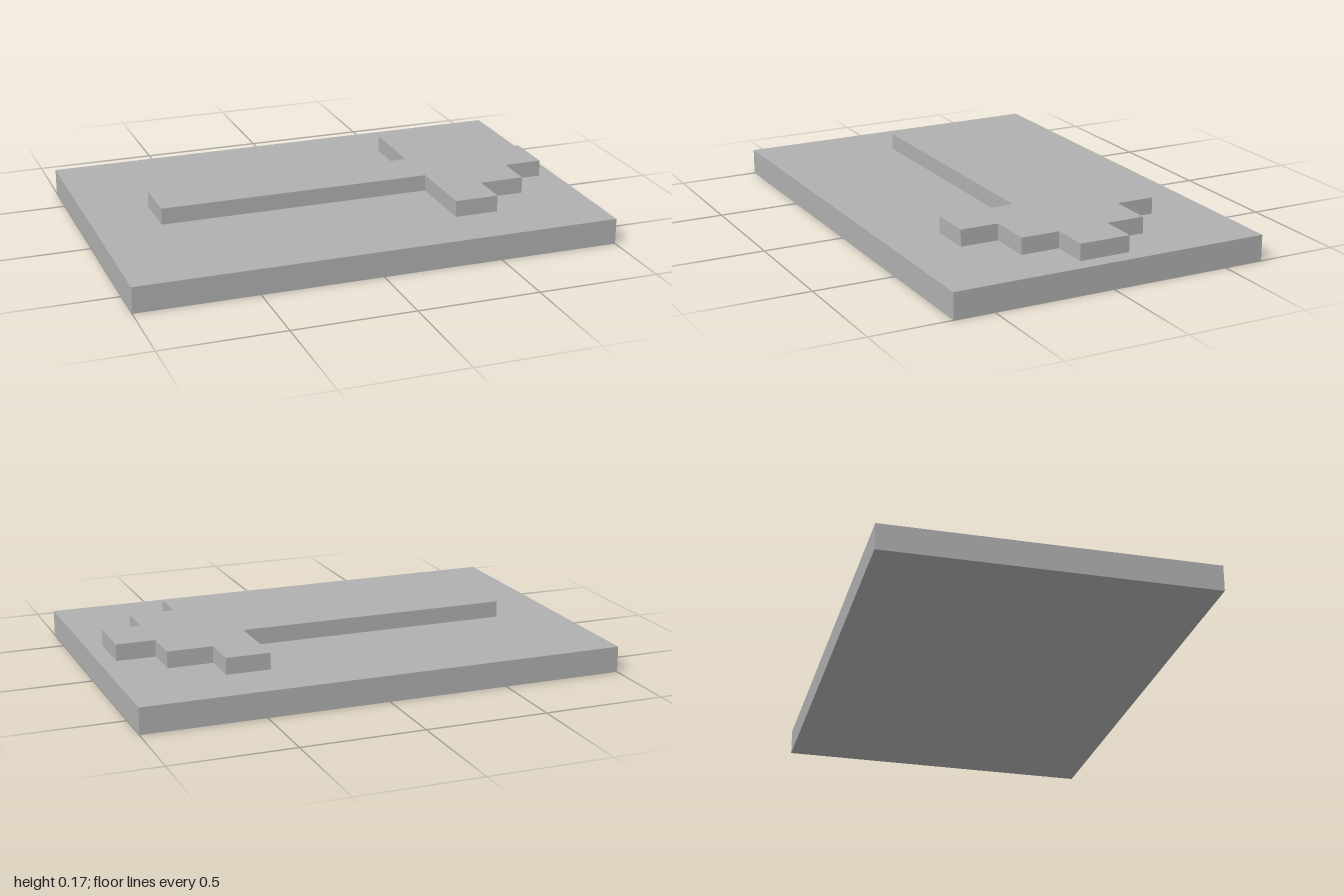
import * as THREE from 'three';

export function createModel() {
  const model = new THREE.Group();
  model.name = 'arrowPlaque';
  const grey = new THREE.MeshStandardMaterial({ color: 0xb0b0b0 });
  grey.name = 'plain grey';

  const baseHeight = 0.107;
  const arrowHeight = 0.068;

  // Flat rectangular base
  const base = new THREE.Mesh(new THREE.BoxGeometry(2, baseHeight, 1.333), grey);
  base.name = 'base';
  base.position.y = baseHeight / 2;
  model.add(base);

  // Raised stepped arrow pointing to +x: half outline, mirrored across its axis
  const half = [
    [-0.734, 0.106], [0.402, 0.106], [0.402, 0.427], [0.584, 0.427],
    [0.584, 0.267], [0.771, 0.267], [0.771, 0.106], [0.931, 0.106],
  ];
  const outline = [...half, ...half.map(([x, z]) => [x, -z]).reverse()];
  const shape = new THREE.Shape(outline.map(([x, z]) => new THREE.Vector2(x, z)));
  const geometry = new THREE.ExtrudeGeometry(shape, { depth: arrowHeight, bevelEnabled: false });
  geometry.rotateX(-Math.PI / 2);
  const arrow = new THREE.Mesh(geometry, grey);
  arrow.name = 'raisedArrow';
  arrow.position.y = baseHeight;
  model.add(arrow);

  return model;
}
